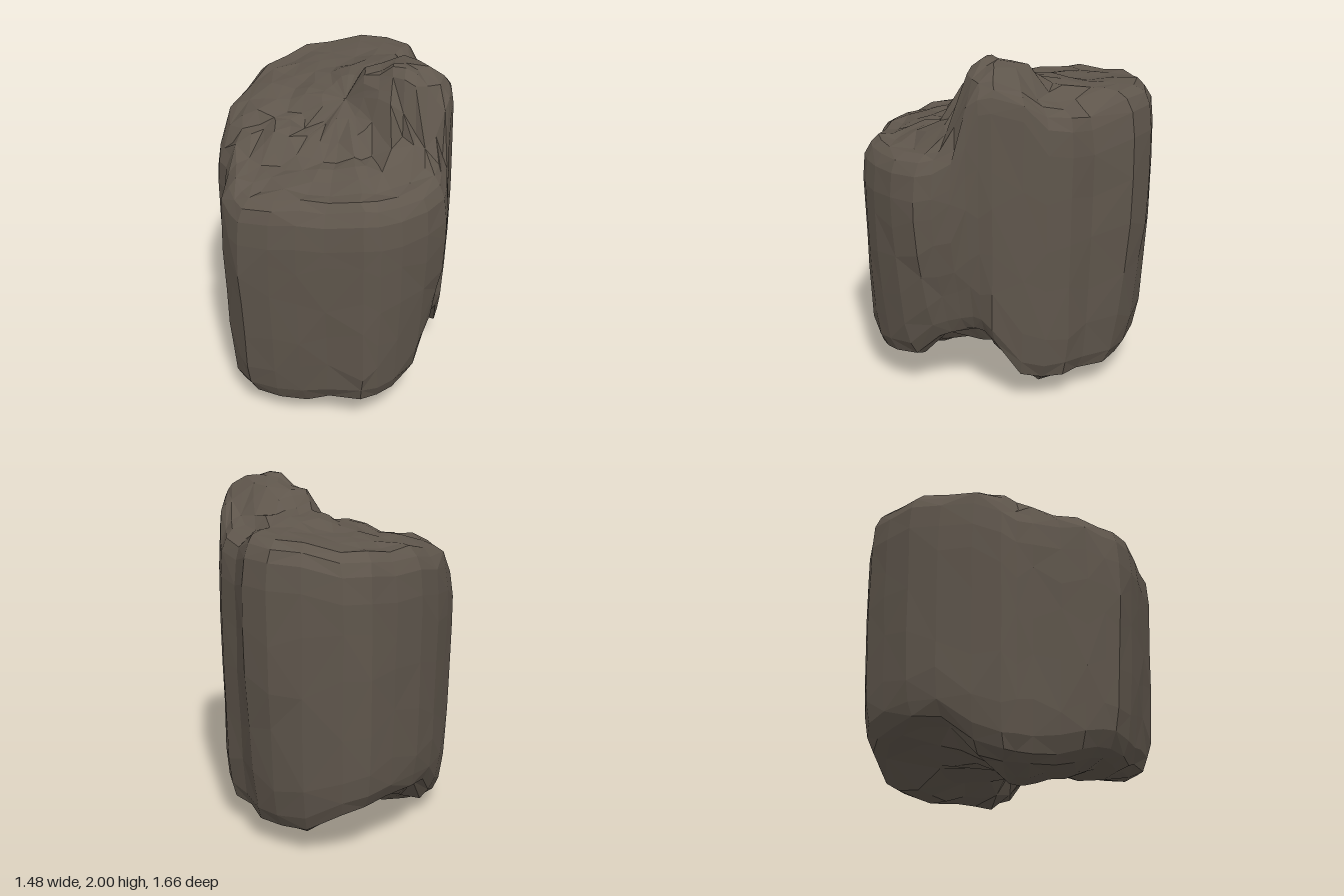
import * as THREE from 'three';

// Plan outline of the boulder, [x, z], from the back round by +x
const OUTLINE = [
  [-0.17, -0.83], [0, -0.8], [0.17, -0.64], [0.31, -0.58], [0.4, -0.48], [0.47, -0.37],
  [0.56, -0.22], [0.58, -0.15], [0.605, -0.09], [0.65, -0.015], [0.7, 0.075], [0.735, 0.16],
  [0.71, 0.32], [0.64, 0.47], [0.57, 0.57], [0.5, 0.63], [0.3, 0.7], [0.15, 0.755], [0, 0.8],
  [-0.18, 0.83], [-0.26, 0.79], [-0.35, 0.73], [-0.42, 0.61], [-0.5, 0.48], [-0.58, 0.43],
  [-0.63, 0.36], [-0.68, 0.2], [-0.73, 0], [-0.74, -0.2], [-0.7, -0.4], [-0.65, -0.56],
  [-0.54, -0.67], [-0.35, -0.77],
];

// Spot heights of the upper surface, [x, z, y]
const TOP = [
  // peak
  [0.3, -0.04, 2.03], [0.4, -0.16, 2], [0.52, -0.16, 1.93], [0.27, -0.2, 1.98], [0.42, -0.04, 1.98],
  [0.45, -0.33, 1.88], [0.14, -0.09, 1.94], [0.55, -0.06, 1.84],
  // step below the peak
  [0.28, 0.04, 1.87], [0.25, 0.13, 1.68], [0.05, 0.1, 1.7], [0.45, 0.08, 1.64], [0.3, 0.22, 1.55],
  [0.61, 0.01, 1.52], [-0.08, 0.22, 1.61], [-0.4, 0.35, 1.6], [-0.25, 0.25, 1.66],
  // front shelf
  [0.6, 0.2, 1.5], [0.1, 0.35, 1.53], [0.5, 0.45, 1.5], [0.2, 0.6, 1.47],
  [-0.1, 0.5, 1.49], [-0.15, 0.72, 1.43], [-0.3, 0.58, 1.47], [-0.51, 0.42, 1.5],
  // back plateau
  [-0.45, 0.2, 1.69], [-0.62, 0.2, 1.65], [-0.65, -0.3, 1.73], [-0.4, 0, 1.73], [-0.15, 0, 1.77],
  [-0.3, -0.3, 1.77], [-0.05, -0.2, 1.83], [-0.5, -0.6, 1.76], [-0.2, -0.7, 1.82],
  [0, -0.6, 1.82], [0.1, -0.4, 1.84], [0.2, -0.55, 1.74], [0.33, -0.46, 1.78],
];

// Spot heights of the underside, [x, z, y]
const BASE = [
  [-0.35, 0.27, 0], [-0.52, 0.38, 0.05], [-0.54, 0.2, 0.1], [-0.2, 0.5, 0.04], [-0.1, 0.7, 0.1],
  [0.1, 0.5, 0.11], [0.4, 0.5, 0.17], [0.55, 0.4, 0.2], [0.5, 0.1, 0.4], [0.48, -0.06, 0.44],
  [0.38, -0.18, 0.36], [0.1, 0, 0.19], [0.38, -0.43, 0.14], [0, -0.6, 0.12], [-0.2, -0.65, 0.12],
  [-0.5, -0.6, 0.26], [-0.62, -0.4, 0.31], [-0.67, -0.15, 0.31], [-0.67, 0.05, 0.28],
  [-0.4, -0.05, 0.15], [0, -0.25, 0.23],
];

// Blend spot heights by inverse distance
function blend(spots, x, z) {
  let sum = 0, total = 0;
  for (const [sx, sz, h] of spots) {
    const w = 1 / (((x - sx) ** 2 + (z - sz) ** 2) ** 2 + 1e-5);
    sum += w * h;
    total += w;
  }
  return sum / total;
}

// Rings from the middle of the underside, up the walls, to the middle of the top
const RINGS = [
  ...[0, 0.25, 0.5, 0.7, 0.85].map((s) => ({ s, base: 0 })),
  { s: 0.94, base: 0.035 }, { s: 0.985, base: 0.12 },
  ...[0.2, 0.36, 0.54, 0.7].map((t) => ({ s: 1, t })),
  { s: 0.998, top: 0.25 }, { s: 0.98, top: 0.11 }, { s: 0.94, top: 0.04 },
  ...[0.88, 0.78, 0.67, 0.56, 0.45, 0.33, 0.18, 0].map((s) => ({ s, top: 0 })),
];

// Small repeatable unevenness
let seed = 7;
function rough(amount) {
  seed = (seed * 16807) % 2147483647;
  return (seed / 2147483647 - 0.5) * amount;
}

function ringPoint(ring, [ox, oz]) {
  const edge = Math.min(ring.s, 0.93);
  const low = blend(BASE, ox * edge, oz * edge);
  const high = blend(TOP, ox * edge, oz * edge);
  let y = low + (high - low) * ring.t;
  if (ring.base !== undefined) y = low + ring.base;
  // The peak has a sharper rim than the rest
  if (ring.top !== undefined) y = high - ring.top * (high > 1.85 ? 0.6 : 1);

  // Walls draw in towards the foot, with a deeper undercut on the +x side
  const drop = THREE.MathUtils.clamp(1 - y / 1.2, 0, 1) ** 1.5;
  const fade = THREE.MathUtils.clamp((0.6 - oz) / 0.35, 0, 1);
  const side = ox > 0 && oz > -0.2 ? 0.15 * (ox / 0.73) * fade : 0;
  const cut = ox > 0 ? 0.22 * Math.exp(-(((oz - 0.04) / 0.17) ** 2)) : 0;
  const back = oz < 0 ? 0.13 * Math.exp(-(((ox + 0.1) / 0.25) ** 2)) : 0;
  const front = oz > 0 ? 0.04 * oz : 0;
  const s = ring.s * (1 - (0.05 + side + cut + back + front) * drop);

  const wobble = ring.s < 0.95 ? 0.025 * ring.s : 0.008;
  const slide = ring.t ? rough(0.12) : 0;
  return [ox * s + rough(wobble), y + slide + rough(wobble * 0.6), oz * s + rough(wobble)];
}

function boulderGeometry() {
  const n = OUTLINE.length;
  const positions = [];
  for (const ring of RINGS) for (const p of OUTLINE) positions.push(...ringPoint(ring, p));

  const index = [];
  for (let i = 0; i < RINGS.length - 1; i++) {
    for (let j = 0; j < n; j++) {
      const a = i * n + j, b = i * n + ((j + 1) % n);
      const c = a + n, d = b + n;
      if (i === 0) index.push(a, c, d);
      else if (i === RINGS.length - 2) index.push(a, d, b);
      else if ((i + j) % 2) index.push(a, c, d, a, d, b);
      else index.push(a, c, b, c, d, b);
    }
  }

  const geometry = new THREE.BufferGeometry();
  geometry.setAttribute('position', new THREE.Float32BufferAttribute(positions, 3));
  geometry.setIndex(index);

  // Stand on y = 0
  geometry.computeBoundingBox();
  geometry.translate(0, -geometry.boundingBox.min.y, 0);
  geometry.computeVertexNormals();
  return geometry;
}

export function createModel() {
  const stone = new THREE.MeshStandardMaterial({ color: 0x5f564c, flatShading: true });
  stone.name = 'brownStone';

  const boulder = new THREE.Mesh(boulderGeometry(), stone);
  boulder.name = 'boulder';

  const group = new THREE.Group();
  group.name = 'rock';
  group.add(boulder);
  return group;
}
